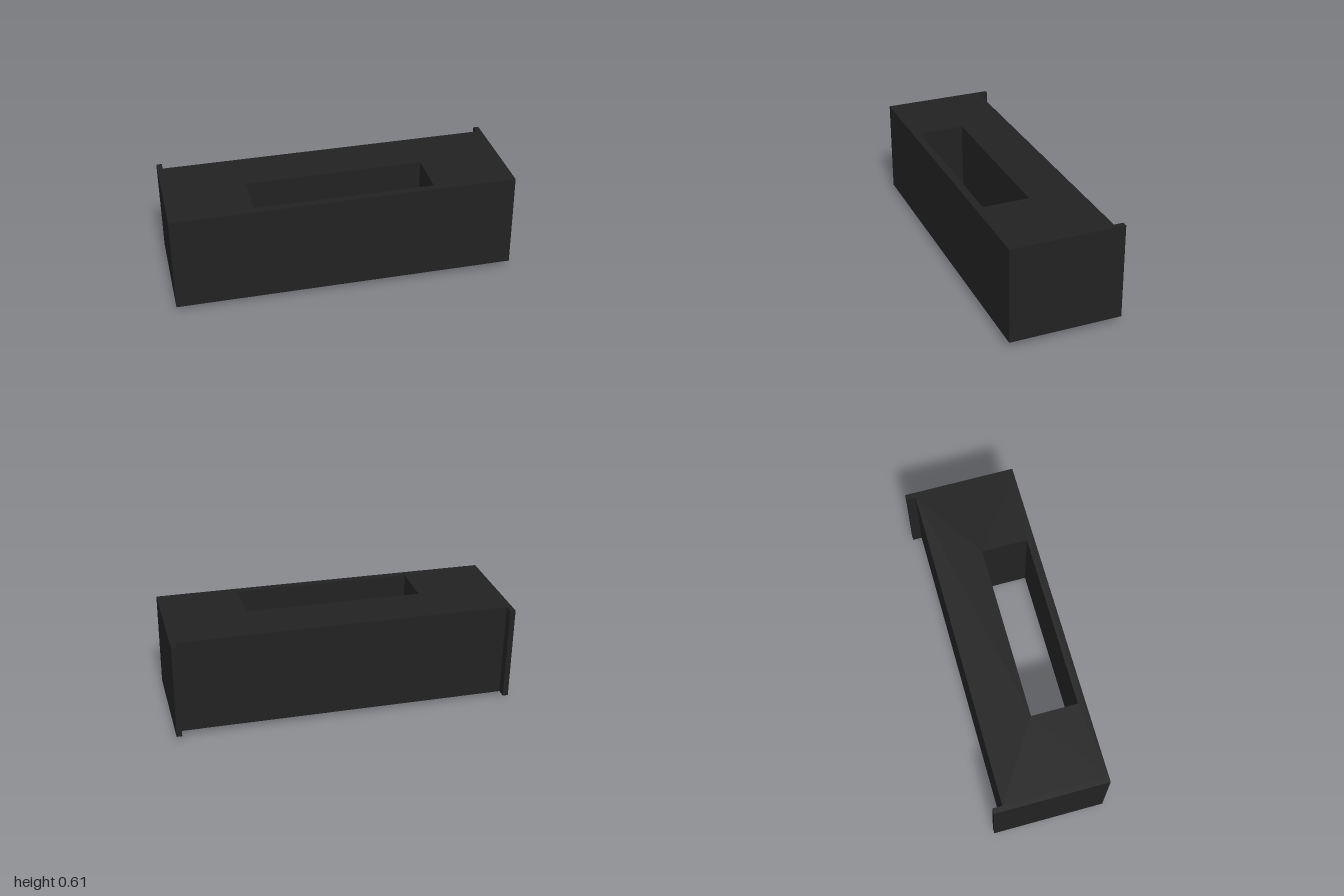
import * as THREE from 'three';

const LENGTH = 1.994, HEIGHT = 0.566, END = 0.032;
const FRONT = 0.331, BODY_BACK = -0.276, END_BACK = -0.332;

const dark = new THREE.MeshStandardMaterial({ color: 0x222222 });
const metal = new THREE.MeshStandardMaterial({ color: 0x999999 });

function box(name, size, pos, material) {
  const mesh = new THREE.Mesh(new THREE.BoxGeometry(...size), material);
  mesh.position.set(...pos);
  mesh.name = name;
  return mesh;
}

// Rectangle given in plan (x, z); shape y is -z so the extrusion can be laid flat
function trace(path, x0, x1, z0, z1) {
  path.moveTo(x0, -z1);
  path.lineTo(x1, -z1);
  path.lineTo(x1, -z0);
  path.lineTo(x0, -z0);
  path.closePath();
  return path;
}

// Flat strap handle hanging below the underside, its top at y = 0
function handle(x, z) {
  const g = new THREE.Group();
  const w = 0.236, drop = 0.023, depth = 0.021, t = 0.006;
  g.name = 'handle';
  g.add(box('handleGrip', [w, t, depth], [0, t / 2 - drop, 0], metal));
  for (const s of [-1, 1]) {
    g.add(box('handlePost', [t, drop - t, depth], [s * (w - t) / 2, (t - drop) / 2, 0], metal));
  }
  g.position.set(x, -HEIGHT / 2, z);
  return g;
}

export function createModel() {
  const model = new THREE.Group();
  model.name = 'cabinet';

  // The whole cabinet leans very slightly
  const cabinet = new THREE.Group();
  cabinet.name = 'tiltedCabinet';
  cabinet.position.y = 0.315;
  cabinet.rotation.z = 0.0102;
  model.add(cabinet);

  // Main body with a rectangular shaft running from top to underside
  const inner = LENGTH / 2 - END;
  const plan = trace(new THREE.Shape(), -inner, inner, BODY_BACK, FRONT);
  plan.holes.push(trace(new THREE.Path(), -0.52, 0.52, 0.014, 0.287));
  const bodyGeometry = new THREE.ExtrudeGeometry(plan, { depth: HEIGHT, bevelEnabled: false });
  bodyGeometry.rotateX(-Math.PI / 2).translate(0, -HEIGHT / 2, 0);
  const body = new THREE.Mesh(bodyGeometry, dark);
  body.name = 'body';
  cabinet.add(body);

  // End panels reach past the back of the body
  for (const s of [-1, 1]) {
    cabinet.add(box(s > 0 ? 'leftEndPanel' : 'rightEndPanel',
      [END, HEIGHT, FRONT - END_BACK],
      [s * (LENGTH - END) / 2, 0, (FRONT + END_BACK) / 2], dark));
  }

  // Outer handles sit near the front, inner ones behind the shaft
  for (const [x, z] of [[-0.76, 0.244], [-0.28, -0.049], [0.255, -0.045], [0.76, 0.244]]) {
    cabinet.add(handle(x, z));
  }
  return model;
}
